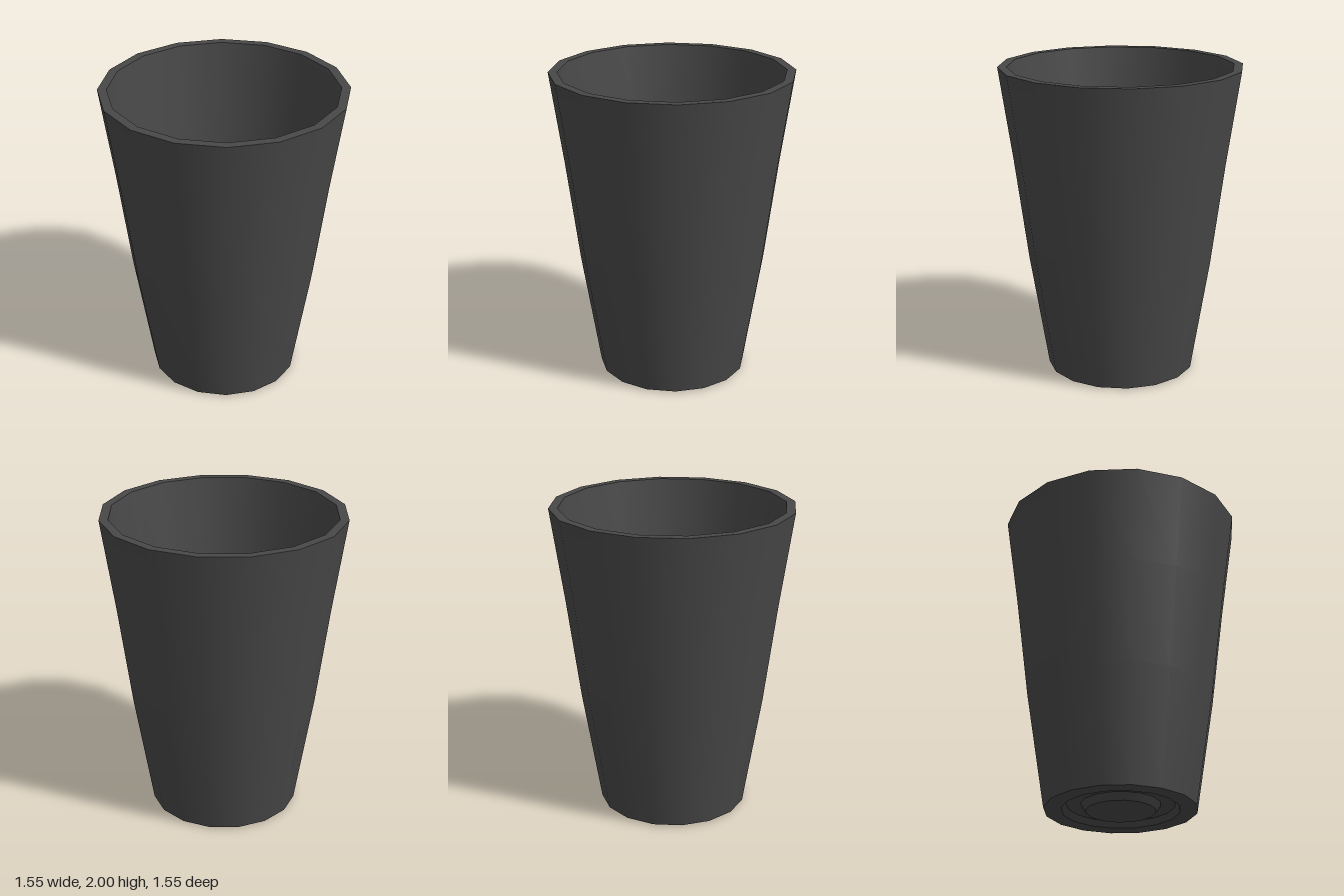
import * as THREE from 'three';

const SIDES = 16;

export function createModel() {
  const group = new THREE.Group();
  group.name = 'cup';
  const material = new THREE.MeshStandardMaterial({ color: 0x484848 });

  // One lathed band; separate bands keep the edges between them sharp.
  const band = (name, points, parent = group) => {
    const profile = points.map(([r, y]) => new THREE.Vector2(r, y));
    const mesh = new THREE.Mesh(new THREE.LatheGeometry(profile, SIDES), material);
    mesh.name = name;
    parent.add(mesh);
  };
  // A stepped surface: every pair of neighbouring points is its own band.
  const stepped = (name, points) => {
    const part = new THREE.Group();
    part.name = name;
    for (let i = 1; i < points.length; i++) band(`${name}Ring${i}`, [points[i - 1], points[i]], part);
    group.add(part);
  };

  // Underside: centre disc, ring groove and outer foot
  stepped('underside', [[0, 0], [0.22, 0], [0.25, 0.045], [0.34, 0.045], [0.37, 0.008], [0.48, 0.008]]);

  // Tapered walls and flat rim
  band('outerWall', [[0.48, 0.008], [0.6, 0.75], [0.685, 1.4], [0.773, 2]]);
  band('rim', [[0.773, 2], [0.716, 2]]);
  band('innerWall', [[0.716, 2], [0.63, 1.4], [0.55, 0.75], [0.45, 0.05]]);

  // Inside floor with a raised ring above the groove
  stepped('innerFloor', [[0.45, 0.05], [0.373, 0.05], [0.343, 0.09], [0.25, 0.09], [0.215, 0.05], [0, 0.05]]);

  return group;
}
